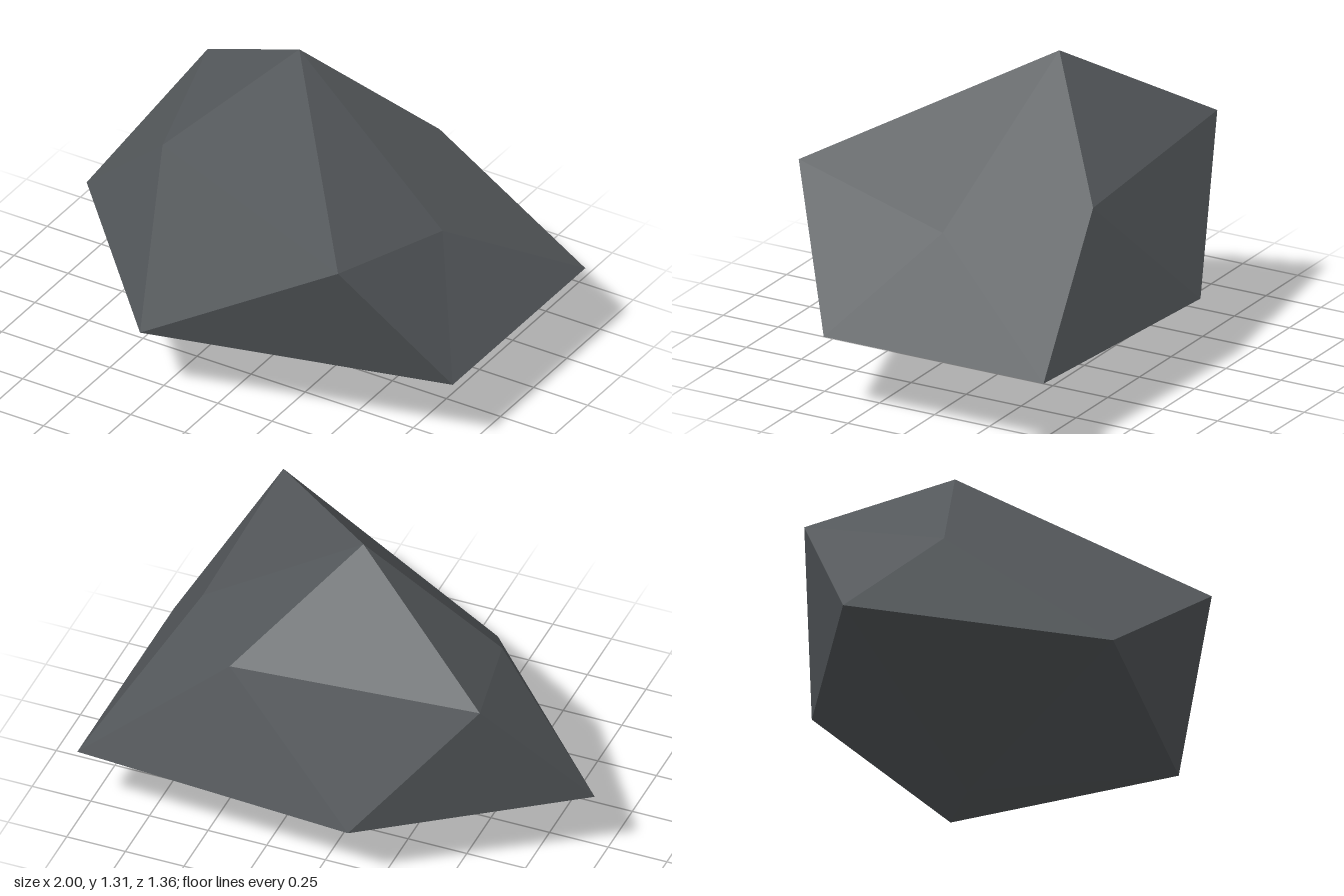
import * as THREE from 'three';

// Faceted boulder: a top point, two staggered rings of five corners, a bottom point
const TOP = [-0.01, 1.31, -0.13];
const UPPER = [[-0.52, 0.80, 0.07], [0.66, 0.92, 0.67], [0.72, 0.765, -0.02], [0.40, 0.86, -0.52], [-0.65, 0.905, -0.48]];
const LOWER = [[-1, 0.35, -0.14], [-0.25, 0.345, 0.68], [1, 0.345, 0.36], [1, 0.345, -0.64], [-0.17, 0.31, -0.68]];
const BOTTOM = [0.10, 0, -0.13];

export function createModel() {
  const stone = new THREE.MeshStandardMaterial({ color: 0x55595c });
  stone.name = 'stone grey';

  // Each fifth of the rock has a cap, two side facets and an underside facet
  const corners = [];
  for (let i = 0; i < 5; i++) {
    const j = (i + 1) % 5;
    corners.push(
      TOP, UPPER[i], UPPER[j],
      UPPER[i], LOWER[j], UPPER[j],
      UPPER[i], LOWER[i], LOWER[j],
      BOTTOM, LOWER[j], LOWER[i],
    );
  }
  const geometry = new THREE.BufferGeometry();
  geometry.setAttribute('position', new THREE.Float32BufferAttribute(corners.flat(), 3));
  geometry.computeVertexNormals(); // unshared corners keep the facets flat

  const rock = new THREE.Mesh(geometry, stone);
  rock.name = 'rock';
  const group = new THREE.Group();
  group.name = 'boulder';
  group.add(rock);
  return group;
}
